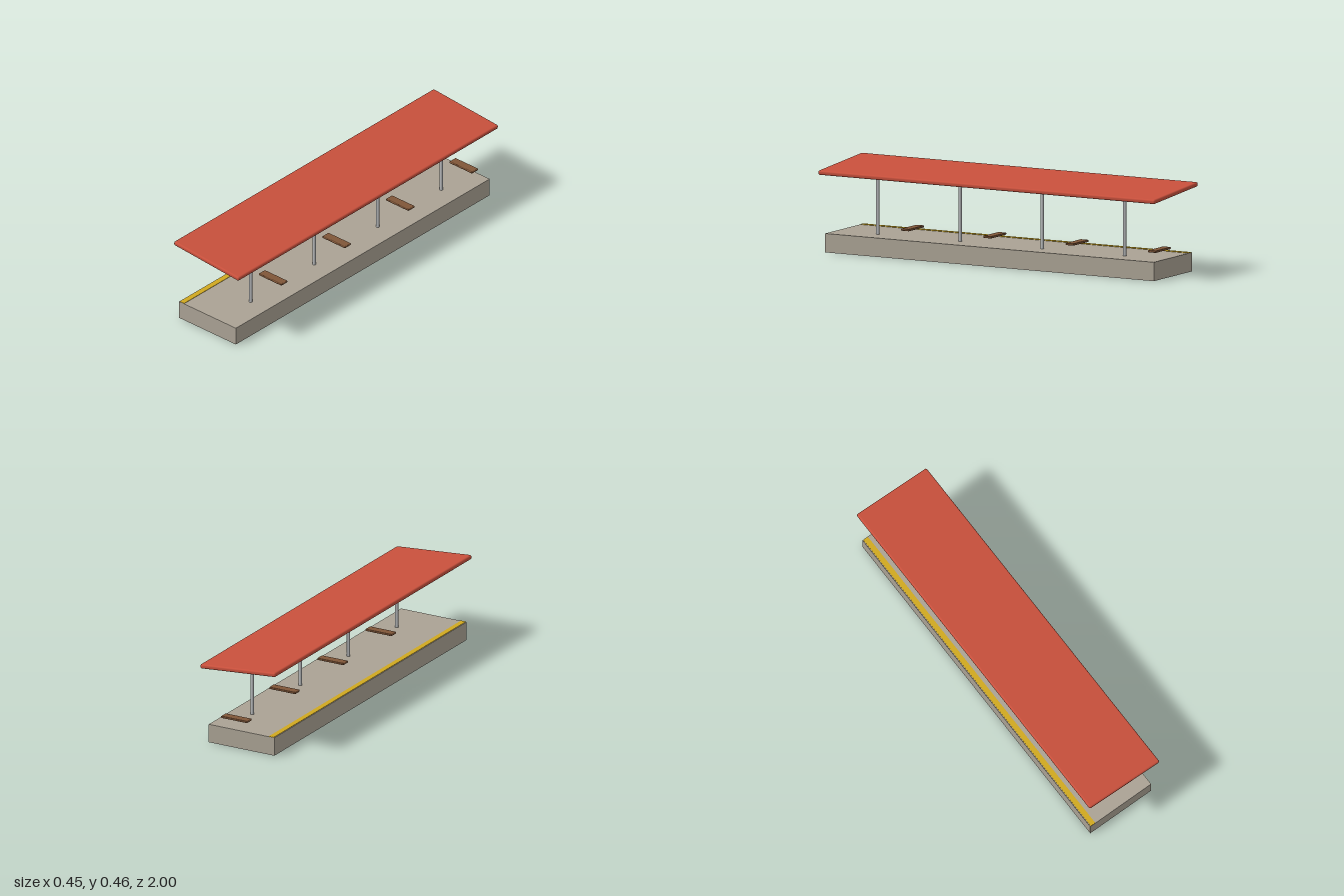
import * as THREE from 'three';
import { RoundedBoxGeometry } from 'three/addons/geometries/RoundedBoxGeometry.js';

const material = (name, color) => {
  const m = new THREE.MeshStandardMaterial({ color });
  m.name = name;
  return m;
};

export function createModel() {
  const concrete = material('concrete', 0xaaa294);
  const roofRed = material('roof red', 0xc8503c);
  const steel = material('steel', 0xb8babc);
  const wood = material('wood', 0x805638);
  const yellow = material('safety yellow', 0xd0a820);

  const group = new THREE.Group();
  group.name = 'stationPlatform';
  const add = (name, geometry, mat, x, y, z) => {
    const mesh = new THREE.Mesh(geometry, mat);
    mesh.name = name;
    mesh.position.set(x, y, z);
    group.add(mesh);
    return mesh;
  };

  // Platform slab and the warning line along its track edge
  add('platform', new THREE.BoxGeometry(0.39, 0.098, 1.952), concrete, -0.01, 0.049, 0.002);
  add('safetyLine', new THREE.BoxGeometry(0.029, 0.003, 1.95), yellow, -0.1865, 0.0985, 0.002);

  // Sloping canopy with softened edges
  const roof = add('roof', new RoundedBoxGeometry(0.448, 0.0235, 2, 3, 0.009), roofRed, -0.001, 0.434, 0);
  roof.rotation.z = -0.08;

  // Repeating canopy posts, each with a floating bench seat behind it
  const postGeometry = new THREE.CylinderGeometry(0.009, 0.009, 0.33, 16);
  const benchGeometry = new RoundedBoxGeometry(0.156, 0.0115, 0.048, 3, 0.004);
  for (let i = 0; i < 4; i++) {
    const z = 0.733 - i * 0.4885;
    add('post', postGeometry, steel, 0.068, 0.26, z);
    add('bench', benchGeometry, wood, 0.048, 0.142, z - 0.195);
  }

  return group;
}
